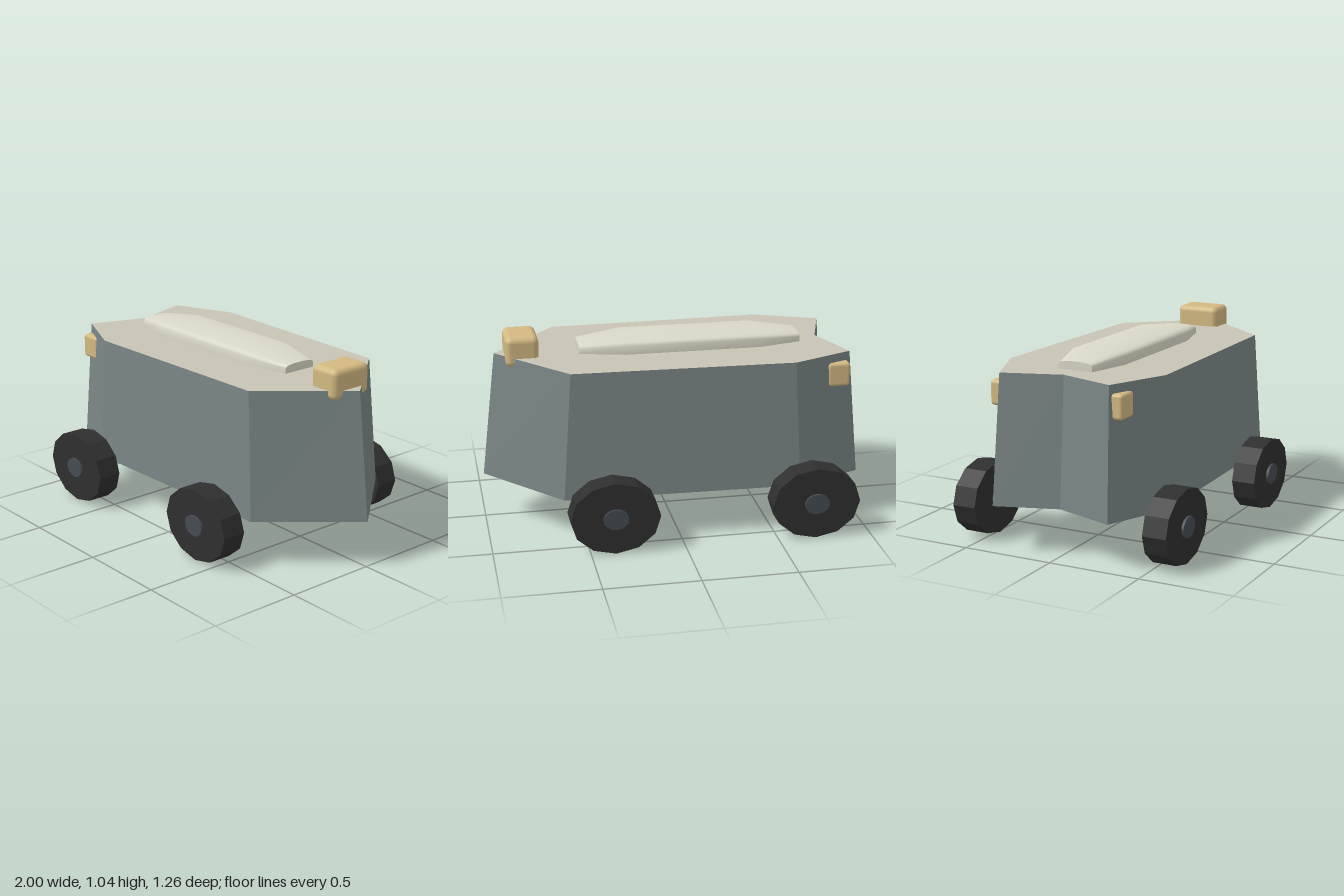
import * as THREE from 'three';
import { RoundedBoxGeometry } from 'three/addons/geometries/RoundedBoxGeometry.js';

const material = (name, color, extra = {}) => {
  const m = new THREE.MeshStandardMaterial({ color, ...extra });
  m.name = name;
  return m;
};

// Full outline from one half (first and last points lie on z = 0)
const mirrorOutline = (half) => [
  ...half,
  ...half.slice(1, -1).reverse().map(([x, z]) => [x, -z]),
];

const flatShape = (points) =>
  new THREE.ShapeGeometry(new THREE.Shape(points.map(([x, y]) => new THREE.Vector2(x, y))));

export function createModel() {
  const model = new THREE.Group();
  const hullGrey = material('hullGrey', 0x7a8585, { flatShading: true });
  const deckBeige = material('deckBeige', 0xc8c4b4);
  const podCream = material('podCream', 0xdad8c7);
  const lampGold = material('lampGold', 0xd2b982);
  const tyreBlack = material('tyreBlack', 0x2f2f2f, { flatShading: true });
  const hubSlate = material('hubSlate', 0x454b52);

  const add = (name, geometry, mat, x = 0, y = 0, z = 0, parent = model) => {
    const mesh = new THREE.Mesh(geometry, mat);
    mesh.name = name;
    mesh.position.set(x, y, z);
    parent.add(mesh);
    return mesh;
  };

  // Hull: tapered walls between a lower and an upper arrow outline
  const y0 = 0.25, y1 = 0.93;
  const lower = mirrorOutline([[1, 0], [0.615, 0.45], [-0.645, 0.48], [-1, 0.33], [-0.89, 0]]);
  const upper = mirrorOutline([[0.92, 0], [0.565, 0.422], [-0.61, 0.452], [-0.94, 0.31], [-0.838, 0]]);
  const walls = [];
  lower.forEach((a, i) => {
    const j = (i + 1) % lower.length;
    const b = lower[j], c = upper[j], d = upper[i];
    const A = [a[0], y0, a[1]], B = [b[0], y0, b[1]];
    const C = [c[0], y1, c[1]], D = [d[0], y1, d[1]];
    walls.push(...B, ...A, ...D, ...B, ...D, ...C);
  });
  const hull = new THREE.BufferGeometry();
  hull.setAttribute('position', new THREE.Float32BufferAttribute(walls, 3));
  hull.computeVertexNormals();
  add('hullWalls', hull, hullGrey);
  add('deck', flatShape(upper).rotateX(-Math.PI / 2), deckBeige, 0, y1);
  add('underside', flatShape(lower).rotateX(Math.PI / 2), deckBeige, 0, y0);

  // Roof pod: rounded section lofted along x with narrowed ends
  const section = [
    [0.157, 0], [0.157, 0.045], [0.145, 0.06], [0.12, 0.068], [0.06, 0.074], [0, 0.075],
    [-0.06, 0.074], [-0.12, 0.068], [-0.145, 0.06], [-0.157, 0.045], [-0.157, 0],
  ];
  const stations = [[-0.725, 0.61], [-0.49, 1], [0.235, 1], [0.478, 0.61]];
  const podPoints = [], podIndex = [], n = section.length;
  stations.forEach(([x, s], i) => {
    section.forEach(([z, y], j) => {
      podPoints.push(x, y * s, z * s);
      if (i < stations.length - 1 && j < n - 1) {
        const a = i * n + j, b = a + n;
        podIndex.push(a, b, b + 1, a, b + 1, a + 1);
      }
    });
  });
  const pod = new THREE.BufferGeometry();
  pod.setAttribute('position', new THREE.Float32BufferAttribute(podPoints, 3));
  pod.setIndex(podIndex);
  pod.computeVertexNormals();
  add('roofPod', pod, podCream, 0, y1);
  for (const [x, s] of [stations[0], stations[3]]) {
    const end = flatShape(section.map(([z, y]) => [z * s, y * s]));
    add('roofPodEnd', end.rotateY(Math.sign(x) * Math.PI / 2), podCream, x, y1);
  }

  // Nose lamp and rear corner lamps, partly sunk into the hull
  add('noseLamp', new RoundedBoxGeometry(0.175, 0.162, 0.245, 3, 0.032), lampGold, 0.778, 0.96, 0);
  for (const side of [1, -1]) {
    add('rearLamp', new RoundedBoxGeometry(0.125, 0.13, 0.1, 3, 0.018), lampGold, -0.868, 0.82, side * 0.326);
  }

  // Wheels: twelve-sided tyres, slightly stretched lengthwise
  const tyre = new THREE.CylinderGeometry(1, 1, 0.13, 12).rotateX(Math.PI / 2).scale(0.236, 0.195, 1);
  const hub = new THREE.CylinderGeometry(1, 1, 0.15, 16).rotateX(Math.PI / 2).scale(0.067, 0.055, 1);
  for (const x of [-0.7, 0.37]) {
    for (const side of [1, -1]) {
      const wheel = new THREE.Group();
      wheel.name = 'wheel';
      wheel.position.set(x, 0.197, side * 0.55);
      add('tyre', tyre, tyreBlack, 0, 0, 0, wheel);
      add('hub', hub, hubSlate, 0, 0, side * 0.003, wheel);
      model.add(wheel);
    }
  }
  return model;
}
